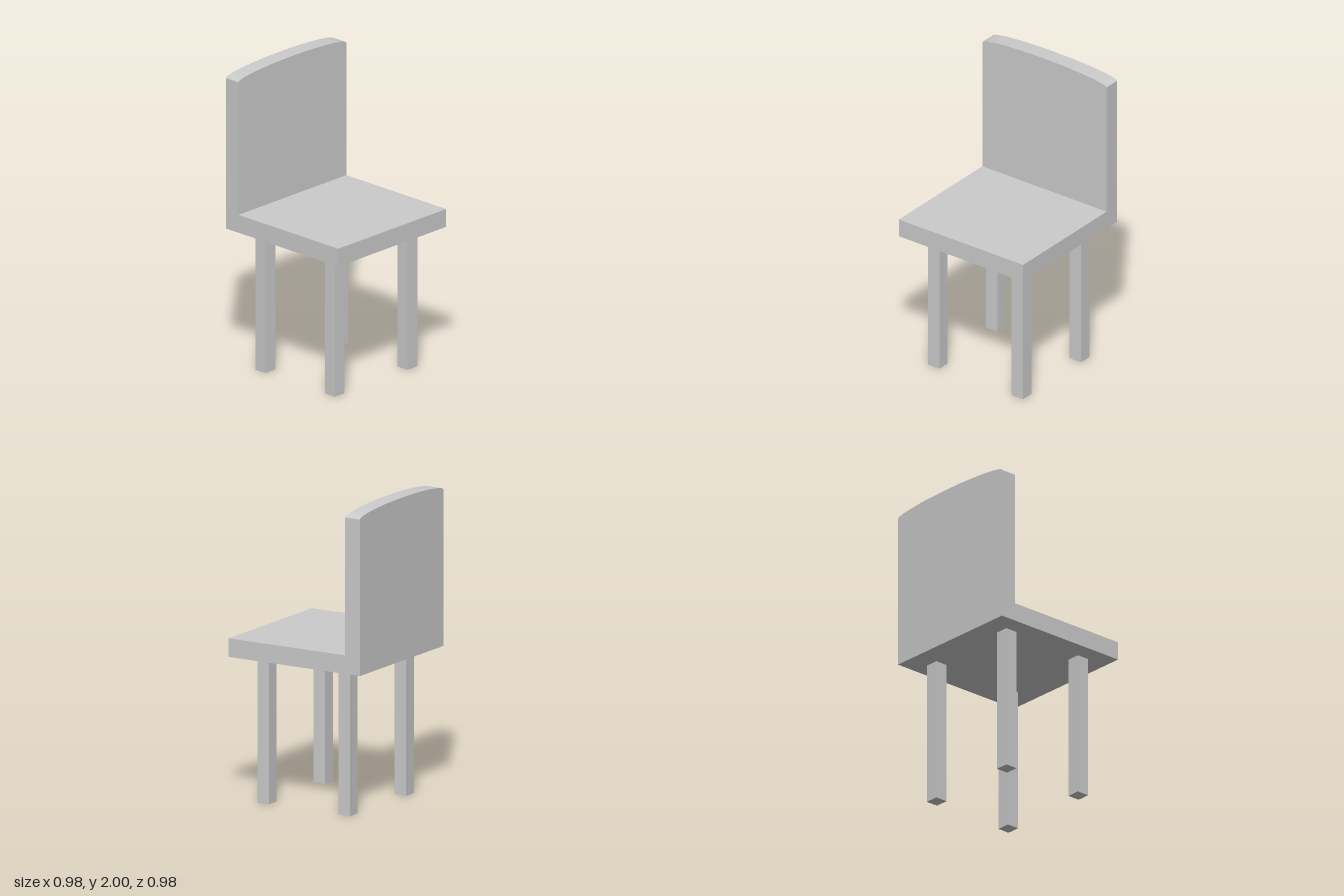
import * as THREE from 'three';

const material = new THREE.MeshStandardMaterial({ color: 0xcccccc });

function addPart(group, name, geometry, x, y, z) {
  const mesh = new THREE.Mesh(geometry, material);
  mesh.name = name;
  mesh.position.set(x, y, z);
  group.add(mesh);
}

export function createModel() {
  const chair = new THREE.Group();
  chair.name = 'chair';

  const half = 0.49;        // half width and half depth of the seat
  const seatBottom = 0.945;
  const seatTop = 1.065;
  const backDepth = 0.11;

  // Square seat slab, meeting the front face of the backrest
  const seatDepth = 2 * half - backDepth;
  addPart(chair, 'seat',
    new THREE.BoxGeometry(2 * half, seatTop - seatBottom, seatDepth),
    0, (seatTop + seatBottom) / 2, half - seatDepth / 2);

  // Backrest panel with a shallow elliptical crown
  const shoulder = 1.955;
  const outline = new THREE.Shape();
  outline.moveTo(-half, seatBottom);
  outline.lineTo(half, seatBottom);
  outline.lineTo(half, shoulder);
  outline.absellipse(0, shoulder, half, 2 - shoulder, 0, Math.PI, false, 0);
  outline.closePath();
  addPart(chair, 'backrest',
    new THREE.ExtrudeGeometry(outline, { depth: backDepth, bevelEnabled: false, curveSegments: 20 }),
    0, 0, -half);

  // Four straight square legs
  const legGeometry = new THREE.BoxGeometry(0.09, seatBottom, 0.086);
  for (const [side, x] of [['Right', -0.325], ['Left', 0.335]]) {
    for (const [end, z] of [['front', 0.302], ['back', -0.302]]) {
      addPart(chair, `${end}${side}Leg`, legGeometry, x, seatBottom / 2, z);
    }
  }

  return chair;
}
